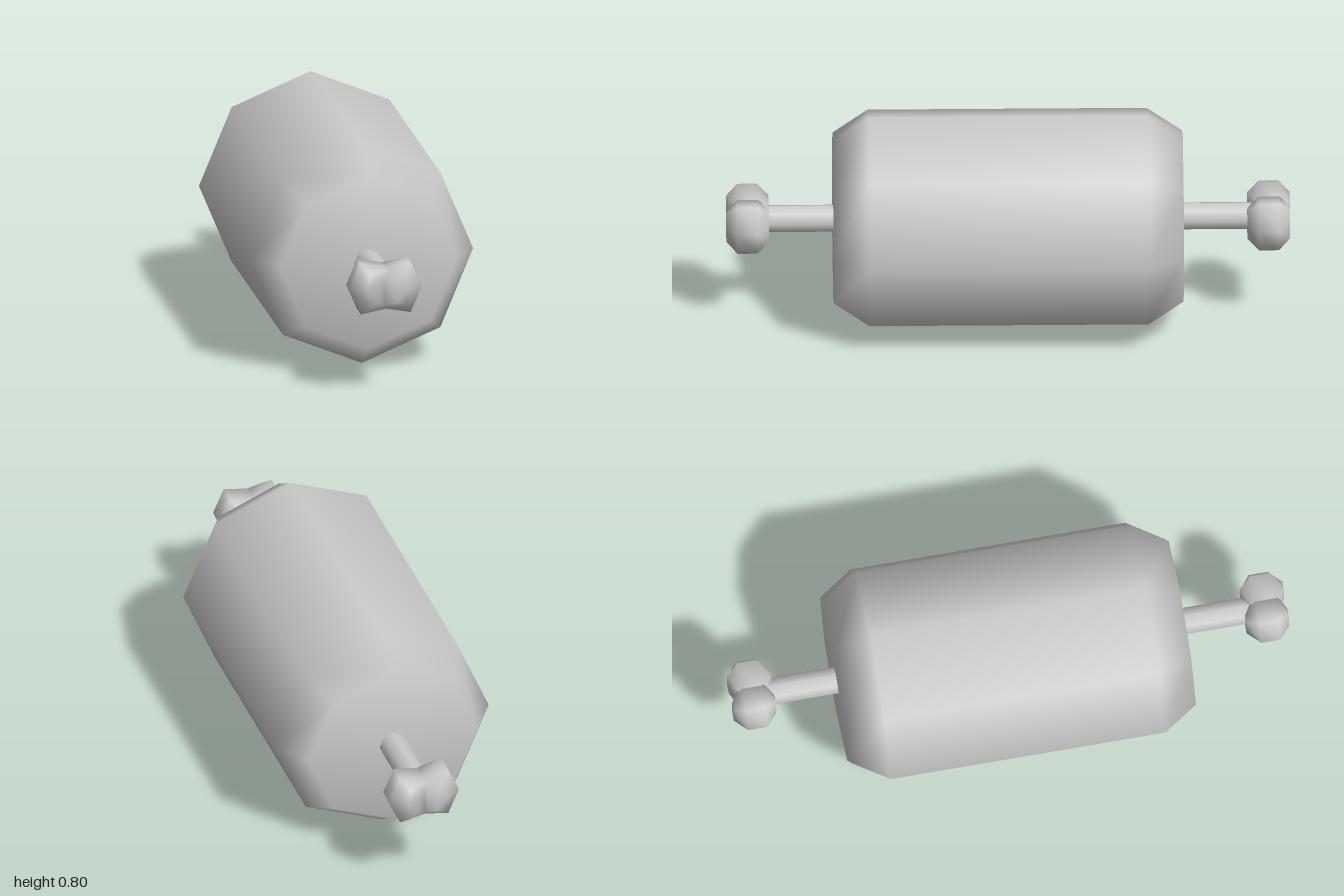
import * as THREE from 'three';

const material = new THREE.MeshStandardMaterial({ color: 0xcccccc });

// One faceted lobe of the bone end, lofted along z: [z, x scale, y scale]
function lobeGeometry() {
  const section = [[0.075, 0], [0.035, 0.093], [-0.085, 0.07], [-0.085, -0.07], [0.035, -0.093]];
  const rings = [[-0.077, 0.25, 0.63], [-0.035, 1, 1], [0.035, 1, 1], [0.075, 0.25, 0.63]];
  const n = section.length;
  const positions = [];
  const index = [];
  for (const [z, sx, sy] of rings) {
    for (const [x, y] of section) positions.push(0.055 + x * sx, y * sy, z);
  }
  for (let i = 0; i < rings.length - 1; i++) {
    for (let j = 0; j < n; j++) {
      const a = i * n + j, b = i * n + (j + 1) % n;
      index.push(a, b, b + n, a, b + n, a + n);
    }
  }
  // End caps
  const last = (rings.length - 1) * n;
  for (let j = 1; j < n - 1; j++) {
    index.push(0, j + 1, j, last, last + j, last + j + 1);
  }
  const geometry = new THREE.BufferGeometry();
  geometry.setAttribute('position', new THREE.Float32BufferAttribute(positions, 3));
  geometry.setIndex(index);
  geometry.computeVertexNormals();
  return geometry;
}

export function createModel() {
  const model = new THREE.Group();
  model.name = 'meatOnBone';

  // Eight-sided meat with bevelled ends
  const profile = [[0, -0.62], [0.318, -0.62], [0.402, -0.495], [0.402, 0.495], [0.318, 0.62], [0, 0.62]]
    .map(([r, y]) => new THREE.Vector2(r, y));
  const meat = new THREE.Mesh(new THREE.LatheGeometry(profile, 8).rotateX(Math.PI / 2), material);
  meat.name = 'meat';
  meat.position.y = 0.402;
  model.add(meat);

  // Bone end: shaft and two merging lobes, repeated front and back
  const shaftGeometry = new THREE.CylinderGeometry(0.05, 0.05, 0.34, 8).rotateX(Math.PI / 2);
  const lobe = lobeGeometry();
  for (const [name, turn] of [['frontBone', 0], ['backBone', Math.PI]]) {
    const bone = new THREE.Group();
    bone.name = name;
    bone.position.y = 0.402;
    bone.rotation.y = turn;

    const shaft = new THREE.Mesh(shaftGeometry, material);
    shaft.name = 'boneShaft';
    shaft.position.z = 0.73;
    bone.add(shaft);

    for (const [side, roll] of [['leftLobe', 0], ['rightLobe', Math.PI]]) {
      const knob = new THREE.Mesh(lobe, material);
      knob.name = side;
      knob.position.z = 0.925;
      knob.rotation.z = roll;
      bone.add(knob);
    }
    model.add(bone);
  }
  return model;
}
